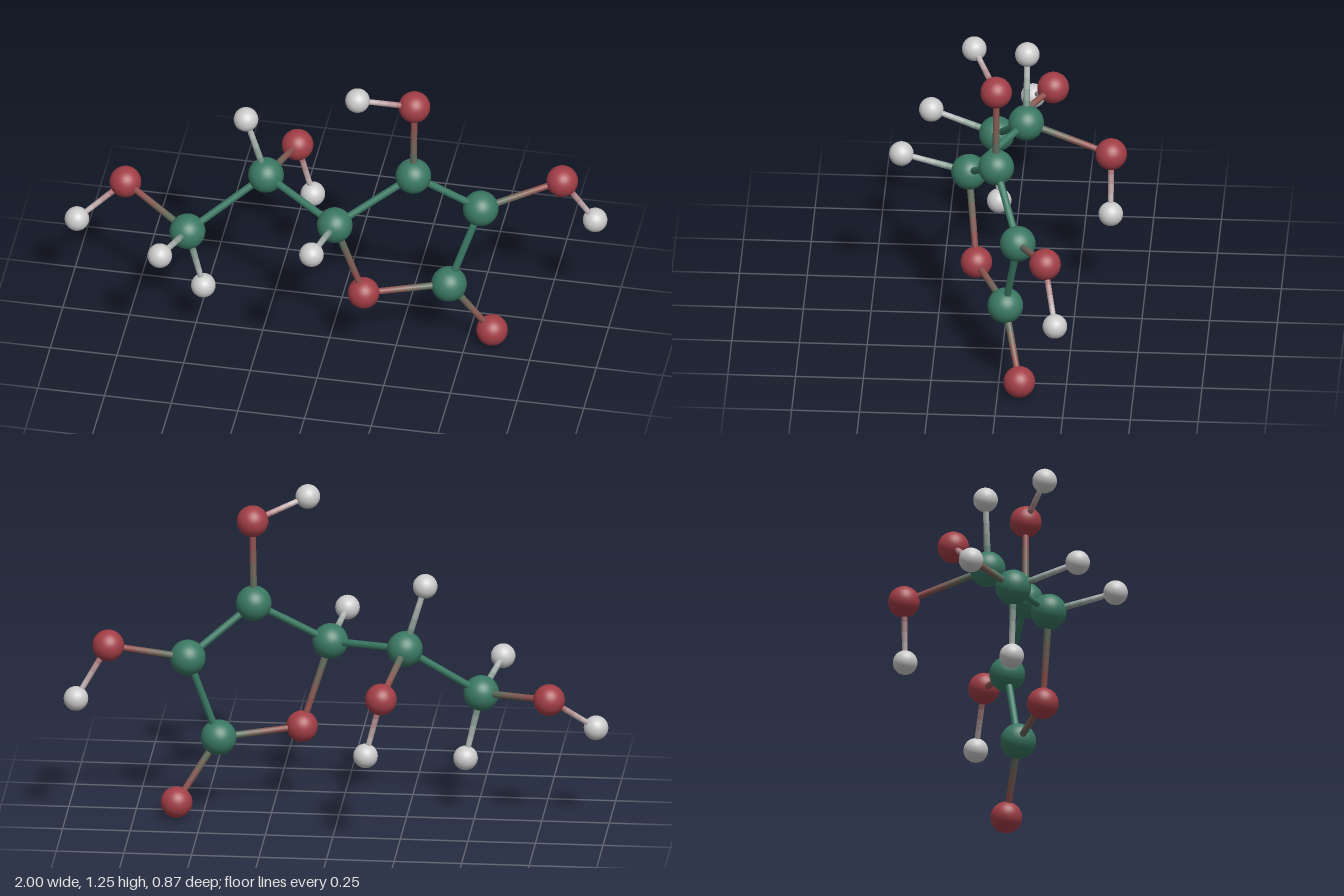
import * as THREE from 'three';

// Atom kinds: ball radius, bond radius at that end, colour
const KINDS = {
  carbon: { r: 0.066, bond: 0.0135, color: 0x3a7863 },
  oxygen: { r: 0.0585, bond: 0.0115, color: 0xa23e46 },
  hydrogen: { r: 0.0455, bond: 0.01, color: 0xcccccc },
};

// name: [kind, x, y, z]
const ATOMS = {
  endCarbon: ['carbon', -0.52, 0.474, 0.066],
  chainCarbon: ['carbon', -0.249, 0.68, -0.058],
  ringCarbonLeft: ['carbon', 0.045, 0.634, 0.136],
  ringCarbonTop: ['carbon', 0.318, 0.813, 0.02],
  ringCarbonRight: ['carbon', 0.553, 0.626, -0.073],
  ringCarbonLow: ['carbon', 0.444, 0.3, -0.021],
  ringOxygen: ['oxygen', 0.147, 0.31, 0.103],
  lowOxygen: ['oxygen', 0.594, 0.063, -0.081],
  topOxygen: ['oxygen', 0.322, 1.133, 0.02],
  sideOxygen: ['oxygen', 0.837, 0.705, -0.19],
  chainOxygen: ['oxygen', -0.19, 0.591, -0.375],
  endOxygen: ['oxygen', -0.789, 0.522, -0.127],
  endOxygenHydrogen: ['hydrogen', -0.955, 0.39, -0.043],
  endHydrogenFront: ['hydrogen', -0.578, 0.536, 0.311],
  endHydrogenLow: ['hydrogen', -0.463, 0.223, 0.054],
  chainHydrogen: ['hydrogen', -0.324, 0.927, -0.058],
  ringHydrogen: ['hydrogen', 0.005, 0.68, 0.388],
  topOxygenHydrogen: ['hydrogen', 0.126, 1.204, 0.112],
  sideOxygenHydrogen: ['hydrogen', 0.952, 0.509, -0.233],
  chainOxygenHydrogen: ['hydrogen', -0.133, 0.37, -0.377],
};

const BONDS = [
  // ring
  ['ringCarbonLeft', 'ringCarbonTop'], ['ringCarbonTop', 'ringCarbonRight'],
  ['ringCarbonRight', 'ringCarbonLow'], ['ringCarbonLow', 'ringOxygen'],
  ['ringOxygen', 'ringCarbonLeft'],
  // ring branches
  ['ringCarbonLow', 'lowOxygen'], ['ringCarbonTop', 'topOxygen'],
  ['ringCarbonRight', 'sideOxygen'], ['ringCarbonLeft', 'ringHydrogen'],
  ['topOxygen', 'topOxygenHydrogen'], ['sideOxygen', 'sideOxygenHydrogen'],
  // side chain
  ['ringCarbonLeft', 'chainCarbon'], ['chainCarbon', 'endCarbon'],
  ['chainCarbon', 'chainHydrogen'], ['chainCarbon', 'chainOxygen'],
  ['chainOxygen', 'chainOxygenHydrogen'], ['endCarbon', 'endOxygen'],
  ['endCarbon', 'endHydrogenFront'], ['endCarbon', 'endHydrogenLow'],
  ['endOxygen', 'endOxygenHydrogen'],
];

const UP = new THREE.Vector3(0, 1, 0);
const position = (name) => new THREE.Vector3(...ATOMS[name].slice(1));

// A tapered rod whose colour blends from one atom to the other in short bands
function makeBond(from, to) {
  const a = KINDS[ATOMS[from][0]], b = KINDS[ATOMS[to][0]];
  const start = position(from), dir = position(to).sub(start);
  const length = dir.length();
  const bands = a === b ? 1 : 6;
  const bond = new THREE.Group();
  bond.name = `bond ${from} to ${to}`;
  for (let i = 0; i < bands; i++) {
    const r0 = THREE.MathUtils.lerp(a.bond, b.bond, i / bands);
    const r1 = THREE.MathUtils.lerp(a.bond, b.bond, (i + 1) / bands);
    const t = (i + 0.5) / bands;
    const color = new THREE.Color(a.color).lerp(new THREE.Color(b.color), t);
    const rod = new THREE.Mesh(
      new THREE.CylinderGeometry(r1, r0, length / bands, 16, 1, true),
      new THREE.MeshStandardMaterial({ color }),
    );
    rod.name = 'bondBand';
    rod.position.y = t * length;
    bond.add(rod);
  }
  bond.position.copy(start);
  bond.quaternion.setFromUnitVectors(UP, dir.normalize());
  return bond;
}

export function createModel() {
  const model = new THREE.Group();
  model.name = 'ballAndStickMolecule';

  // One shared ball and material per kind of atom
  const balls = {};
  for (const [kind, { r, color }] of Object.entries(KINDS)) {
    balls[kind] = [
      new THREE.SphereGeometry(r, 32, 24),
      new THREE.MeshStandardMaterial({ color }),
    ];
  }
  for (const [name, [kind]] of Object.entries(ATOMS)) {
    const atom = new THREE.Mesh(...balls[kind]);
    atom.name = name;
    atom.position.copy(position(name));
    model.add(atom);
  }

  for (const [from, to] of BONDS) model.add(makeBond(from, to));
  return model;
}
